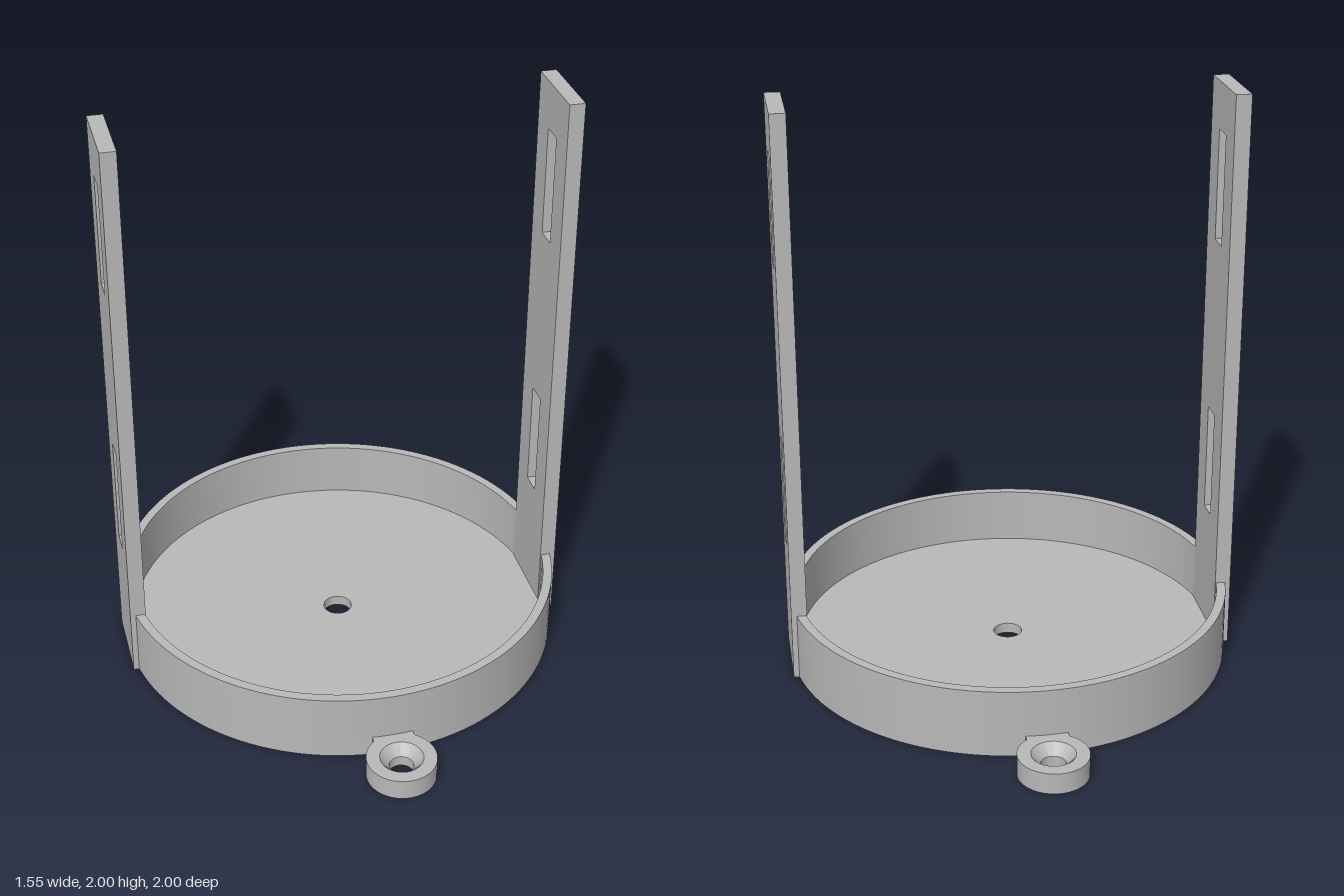
import * as THREE from 'three';
import { toCreasedNormals } from 'three/addons/utils/BufferGeometryUtils.js';

const grey = new THREE.MeshStandardMaterial({ color: 0xb8b8b8 });
grey.name = 'plain grey';

function part(name, geometry) {
  const mesh = new THREE.Mesh(geometry, grey);
  mesh.name = name;
  return mesh;
}

// Closed ring turned from [radius, height] points, with sharp edges kept
function turned(points, segments) {
  const profile = [...points, points[0]].map(([r, y]) => new THREE.Vector2(r, y));
  return toCreasedNormals(new THREE.LatheGeometry(profile, segments), 0.5);
}

function rectangle(target, w, y0, y1) {
  target.moveTo(-w, y0);
  target.lineTo(w, y0);
  target.lineTo(w, y1);
  target.lineTo(-w, y1);
  target.closePath();
  return target;
}

export function createModel() {
  const model = new THREE.Group();
  model.name = 'mountingBracket';

  // Shallow round tray with a hole in the middle of its floor
  model.add(part('tray', turned([
    [0.77, 0], [0.77, 0.237], [0.738, 0.237], [0.738, 0.037], [0.05, 0.037], [0.05, 0],
  ], 128)));

  // Upright flat arms with two slots each
  const outline = rectangle(new THREE.Shape(), 0.142, 0, 2);
  for (const y of [0.457, 1.457]) {
    outline.holes.push(rectangle(new THREE.Path(), 0.04, y, y + 0.383));
  }
  const armGeometry = new THREE.ExtrudeGeometry(outline, { depth: 0.054, bevelEnabled: false });
  armGeometry.translate(0, 0, -0.027).rotateY(Math.PI / 2);

  for (const side of [1, -1]) {
    const arm = part(side > 0 ? 'leftArm' : 'rightArm', armGeometry);
    arm.position.x = side * 0.749;
    model.add(arm);
  }

  // Countersunk screw ears at front and back, with a short neck into the tray wall
  const earGeometry = turned([
    [0.118, 0], [0.118, 0.073], [0.073, 0.073], [0.041, 0.037], [0.041, 0],
  ], 48);
  const neckGeometry = new THREE.BoxGeometry(0.14, 0.073, 0.05);
  for (const side of [1, -1]) {
    const ear = new THREE.Group();
    ear.name = side > 0 ? 'frontEar' : 'backEar';
    const ring = part('screwRing', earGeometry);
    ring.position.z = side * 0.882;
    const neck = part('neck', neckGeometry);
    neck.position.set(0, 0.0365, side * 0.77);
    ear.add(ring, neck);
    model.add(ear);
  }
  return model;
}
